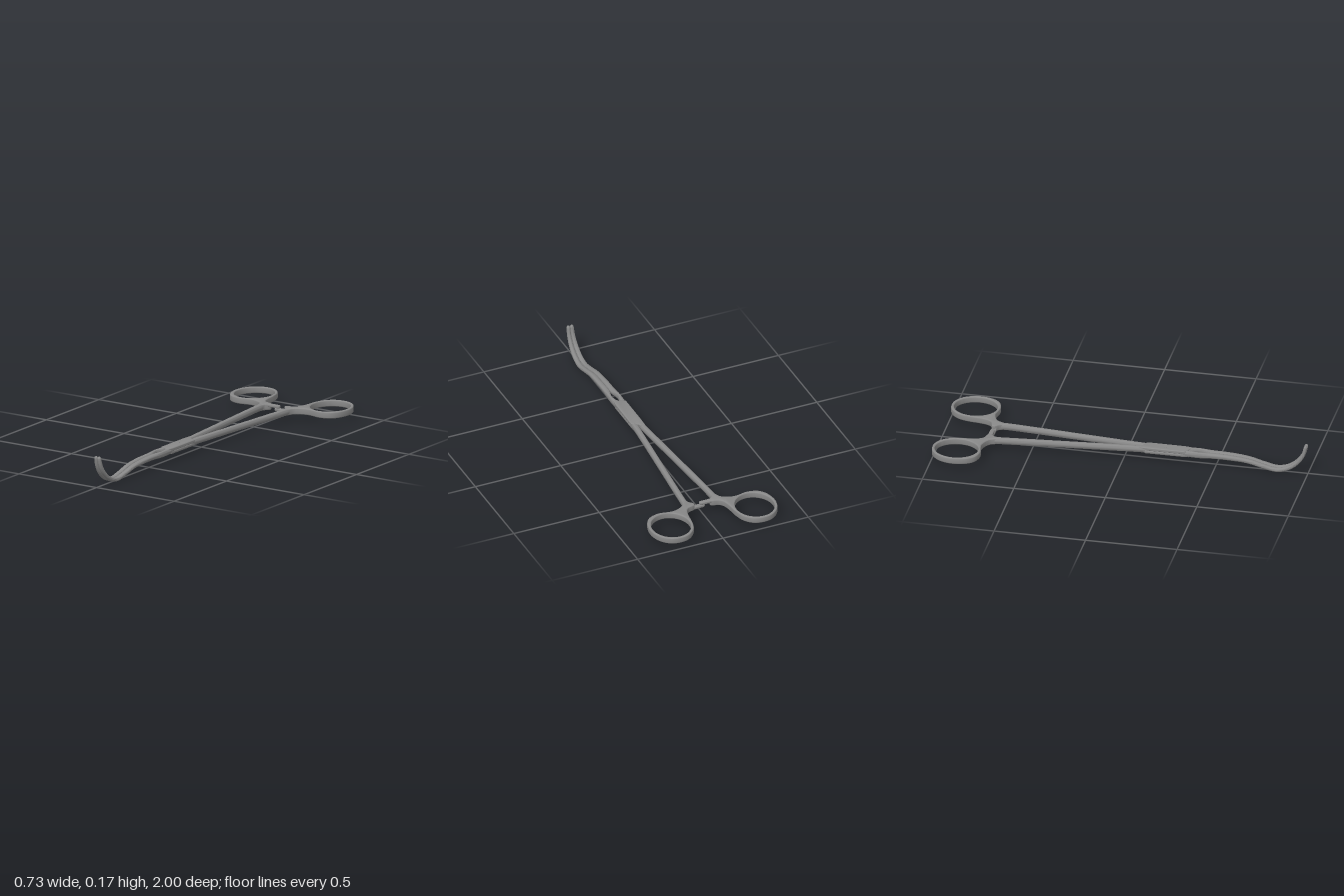
import * as THREE from 'three';
import { toCreasedNormals } from 'three/addons/utils/BufferGeometryUtils.js';

const steel = new THREE.MeshStandardMaterial({ color: 0x888888 });

function mesh(name, geometry, crease = 0.7) {
  const m = new THREE.Mesh(toCreasedNormals(geometry, crease), steel);
  m.name = name;
  return m;
}

// Sweeps a rounded section along stations [x, y, z, halfWidth, halfHeight]
function sweep(stations, steps, power = 0.8, sides = 20) {
  const path = new THREE.CatmullRomCurve3(stations.map(s => new THREE.Vector3(s[0], s[1], s[2])), false, 'centripetal');
  const size = new THREE.CatmullRomCurve3(stations.map(s => new THREE.Vector3(s[3], s[4], 0)), false, 'catmullrom', 0.3);
  const pos = [], index = [];
  const bend = v => Math.sign(v) * Math.abs(v) ** power;
  for (let i = 0; i <= steps; i++) {
    const p = path.getPoint(i / steps), t = path.getTangent(i / steps), r = size.getPoint(i / steps);
    const side = new THREE.Vector3(1, 0, 0).addScaledVector(t, -t.x).normalize();
    const up = t.clone().cross(side);
    for (let j = 0; j < sides; j++) {
      const a = (j / sides) * Math.PI * 2;
      const q = p.clone().addScaledVector(side, r.x * bend(Math.cos(a))).addScaledVector(up, r.y * bend(Math.sin(a)));
      pos.push(q.x, q.y, q.z);
      if (i < steps) {
        const k = (j + 1) % sides, A = i * sides + j, B = i * sides + k;
        index.push(A, B, A + sides, B, B + sides, A + sides);
      }
    }
  }
  // end caps
  const last = steps * sides;
  for (let j = 1; j < sides - 1; j++) index.push(0, j + 1, j, last, last + j, last + j + 1);
  const g = new THREE.BufferGeometry();
  g.setAttribute('position', new THREE.Float32BufferAttribute(pos, 3));
  g.setIndex(index);
  g.computeVertexNormals();
  return g;
}

// Plate with a plan outline (x, -z), lying between two heights, with rounded rims
function plate(shape, y0, y1, bevel) {
  const g = new THREE.ExtrudeGeometry(shape, {
    depth: y1 - y0 - 2 * bevel, bevelEnabled: true, bevelThickness: bevel,
    bevelSize: bevel, bevelOffset: -bevel, bevelSegments: 3, curveSegments: 16,
  });
  g.rotateX(-Math.PI / 2);
  g.translate(0, y0 + bevel, 0);
  return g;
}

const points = (list, s) => list.map(([x, y]) => new THREE.Vector2(x * s, y));

// Finger ring with the web that runs into the shank
function fingerRing(s) {
  const outline = points([
    [0.073, 0.68], [0.066, 0.699], [0.052, 0.714], [0.045, 0.727], [0.052, 0.74],
    [0.088, 0.751], [0.108, 0.775], [0.119, 0.82], [0.126, 0.88], [0.145, 0.942],
    [0.187, 0.986], [0.24, 1.0], [0.298, 0.988], [0.344, 0.943], [0.365, 0.875],
    [0.354, 0.801], [0.319, 0.753], [0.262, 0.735], [0.215, 0.742], [0.18, 0.746],
    [0.14, 0.735], [0.11, 0.714], [0.095, 0.68],
  ], s);
  const shape = new THREE.Shape(new THREE.SplineCurve(outline).getPoints(110));
  const hole = [];
  for (let i = 0; i < 56; i++) {
    const a = (i / 56) * Math.PI * 2;
    hole.push(new THREE.Vector2(s * (0.245 + 0.105 * Math.cos(a)), 0.868 + 0.117 * Math.sin(a)));
  }
  shape.holes.push(new THREE.Path(hole));
  return plate(shape, 0.037, 0.073, 0.006);
}

// One half: handle on side s, crossing at the lock to a jaw on side -s
function half(s, prefix) {
  const g = new THREE.Group();
  g.name = prefix + 'Half';
  const lower = s > 0;

  g.add(mesh(prefix + 'FingerRing', fingerRing(s)));
  g.add(mesh(prefix + 'Shank', sweep([
    [s * 0.086, 0.055, -0.73, 0.012, 0.014],
    [s * 0.084, 0.055, -0.69, 0.0155, 0.0182],
    [s * 0.081, 0.056, -0.64, 0.0155, 0.018],
    [s * 0.05, 0.057, -0.28, 0.015, 0.0175],
    [s * 0.018, 0.057, 0.1, 0.0155, 0.017],
    [s * 0.017, 0.057, 0.14, 0.015, 0.015],
  ], 36, 0.75)));

  // ratchet arm with its teeth; the two arms lie over each other
  const arm = new THREE.Shape(points([
    [0.078, 0.704], [0.05, 0.713], [-0.008, 0.714], [-0.015, 0.72],
    [-0.015, 0.731], [-0.008, 0.737], [0.05, 0.739], [0.078, 0.746],
  ], s));
  const y = lower ? 0.039 : 0.0555;
  g.add(mesh(prefix + 'RatchetArm', plate(arm, y, y + 0.0155, 0.004)));
  for (let i = 0; i < 3; i++) {
    const tooth = mesh(prefix + 'RatchetTooth', new THREE.CylinderGeometry(0.002, 0.002, 0.016, 3));
    tooth.rotation.x = Math.PI / 2;
    tooth.position.set(s * (-0.008 + i * 0.008), 0.055, -0.726);
    g.add(tooth);
  }

  // lock plate: one above, one below, with slanted ends
  const lock = new THREE.Shape(points([
    [0.031, -0.08], [0.033, -0.14], [0.033, -0.334], [-0.003, -0.349], [-0.008, -0.358],
    [-0.03, -0.358], [-0.034, -0.32], [-0.035, -0.115], [0, -0.096], [0.005, -0.08],
  ], s));
  g.add(mesh(prefix + 'LockPlate', lower ? plate(lock, 0.04, 0.058, 0.005) : plate(lock, 0.056, 0.0745, 0.005)));

  // jaw: bowed around the eye, then dipping and hooking upward
  const j = -s;
  g.add(mesh(prefix + 'Jaw', sweep([
    [j * 0.017, 0.057, 0.31, 0.016, 0.015],
    [j * 0.0175, 0.057, 0.35, 0.0162, 0.017],
    [j * 0.022, 0.057, 0.375, 0.012, 0.0168],
    [j * 0.0245, 0.057, 0.405, 0.0095, 0.0165],
    [j * 0.0215, 0.057, 0.437, 0.0118, 0.016],
    [j * 0.0165, 0.057, 0.468, 0.0158, 0.015],
    [j * 0.016, 0.056, 0.57, 0.0152, 0.0135],
    [j * 0.0153, 0.047, 0.675, 0.0145, 0.012],
    [j * 0.0148, 0.027, 0.755, 0.014, 0.0115],
    [j * 0.0145, 0.0125, 0.835, 0.0136, 0.0115],
    [j * 0.0137, 0.032, 0.9, 0.0128, 0.011],
    [j * 0.0127, 0.07, 0.947, 0.0118, 0.011],
    [j * 0.0114, 0.115, 0.976, 0.0106, 0.0105],
    [j * 0.0103, 0.158, 0.988, 0.0096, 0.01],
    [j * 0.0102, 0.167, 0.9895, 0.0075, 0.0075],
    [j * 0.0102, 0.171, 0.99, 0.003, 0.003],
  ], 100, 0.85)));
  return g;
}

export function createModel() {
  const model = new THREE.Group();
  model.name = 'curvedClamp';
  model.add(half(1, 'left'), half(-1, 'right'));

  // pivot pin through the lock
  const pin = mesh('pivotPin', new THREE.CylinderGeometry(0.008, 0.008, 0.036, 20));
  pin.position.set(0, 0.0573, 0.22);
  model.add(pin);
  return model;
}
